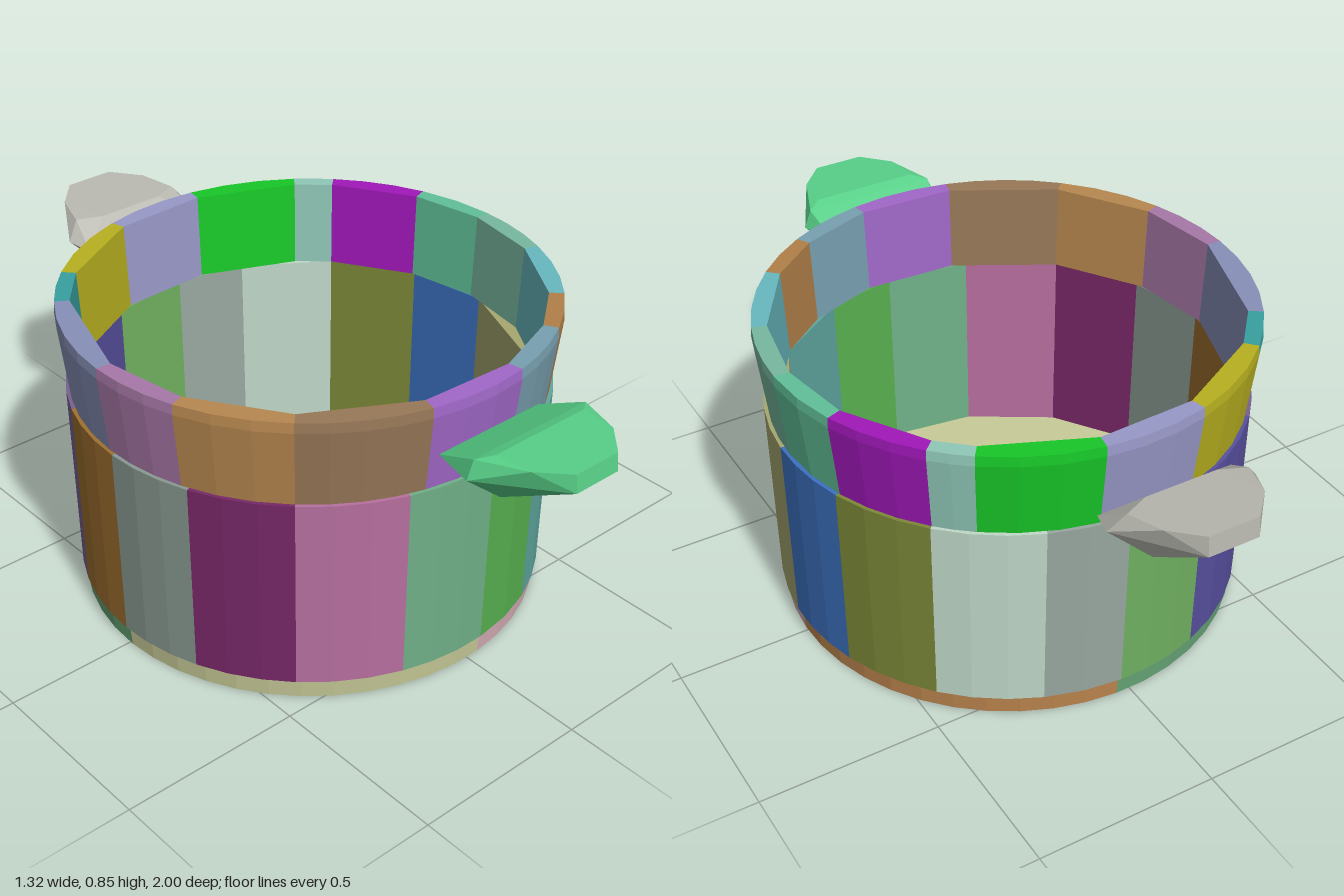
import * as THREE from 'three';
import { ConvexGeometry } from 'three/addons/geometries/ConvexGeometry.js';

const RAD = Math.PI / 180;

function part(name, points, color) {
  const mesh = new THREE.Mesh(
    new ConvexGeometry(points.map(p => new THREE.Vector3(...p))),
    new THREE.MeshStandardMaterial({ color, flatShading: true })
  );
  mesh.name = name;
  return mesh;
}

// points on an arc; angle 0 is the front (+z), 90 is +x
function arc(from, to, radius, y) {
  const steps = Math.max(2, Math.round((to - from) / 8));
  return Array.from({ length: steps + 1 }, (_, i) => {
    const a = (from + (to - from) * i / steps) * RAD;
    return [radius * Math.sin(a), y, radius * Math.cos(a)];
  });
}

// ring of convex staves: list of [start angle, colour]; profile of [radius, y]
function staves(name, list, profile) {
  const ring = new THREE.Group();
  ring.name = name;
  list.forEach(([from, color], i) => {
    const to = i + 1 < list.length ? list[i + 1][0] : list[0][0] + 360;
    const points = profile.flatMap(([r, y]) => arc(from, to, r, y));
    ring.add(part(name + 'Stave', points, color));
  });
  return ring;
}

// handle pad: rows of [half width, y, distance from centre], mirrored in x
function handle(name, rows, side, color) {
  const points = rows.flatMap(([x, y, z]) => [[x, y, z * side], [-x, y, z * side]]);
  return part(name, points, color);
}

export function createModel() {
  const model = new THREE.Group();
  model.name = 'pot';

  // floor slab in four quarters
  const base = new THREE.Group();
  base.name = 'base';
  const quarters = [[3.6, 89, 0xd8b0b8], [89, 176.4, 0xc08850], [176.4, 270.9, 0x68a878], [270.9, 363.6, 0xc8cc98]];
  for (const [from, to, color] of quarters) {
    base.add(part('baseQuarter', [
      ...arc(from, to, 0.63, 0), ...arc(from, to, 0.635, 0.055),
      [0.04, 0, 0.01], [0.04, 0.055, 0.01]
    ], color));
  }
  model.add(base);

  // lower wall
  model.add(staves('wall', [
    [-19, 0x70b088], [3.5, 0x58b050], [22.8, 0x60a8a0], [46.8, 0xa8a870],
    [87, 0x3c70c0], [109, 0x7c8838], [133, 0xc0d8c8], [158, 0x98a8a0],
    [177, 0x70b060], [199, 0x5850a0], [225, 0x786090], [248, 0xa07030],
    [270, 0x889890], [292, 0x782868], [316, 0xb870a0]
  ], [[0.64, 0.055], [0.648, 0.605], [0.605, 0.055], [0.612, 0.605]]));

  // flared rim
  model.add(staves('rim', [
    [-15, 0xa068c8], [10, 0x78a0b0], [30, 0xb08048], [46, 0x68b8c0],
    [69.5, 0x78b8a0], [90, 0x60c098], [109.5, 0xa018b8], [133, 0x90c8b8],
    [143, 0x18c828], [170, 0x9898c8], [195, 0xb8b020], [222, 0x38a0a0],
    [236, 0x8890b8], [268, 0xa878a8], [290, 0xb88850], [316, 0x987858]
  ], [[0.638, 0.605], [0.662, 0.82], [0.66, 0.848], [0.61, 0.605], [0.62, 0.848]]));

  // handles
  model.add(handle('frontHandle', [
    [0.17, 0.73, 0.66], [0.07, 0.61, 0.66], [0.19, 0.79, 0.79], [0.21, 0.74, 0.79],
    [0.15, 0.8, 0.82], [0.08, 0.63, 0.78], [0.14, 0.8, 0.92], [0.07, 0.8, 0.995],
    [0.07, 0.75, 1]
  ], 1, 0x58d088));
  model.add(handle('backHandle', [
    [0.09, 0.615, 0.665], [0.19, 0.73, 0.73], [0.21, 0.74, 0.8], [0.1, 0.79, 0.79],
    [0.17, 0.79, 0.82], [0.1, 0.63, 0.74], [0.12, 0.67, 0.86], [0.14, 0.8, 0.92],
    [0.07, 0.806, 0.995], [0.07, 0.75, 1]
  ], -1, 0xb8b8b0));

  return model;
}
